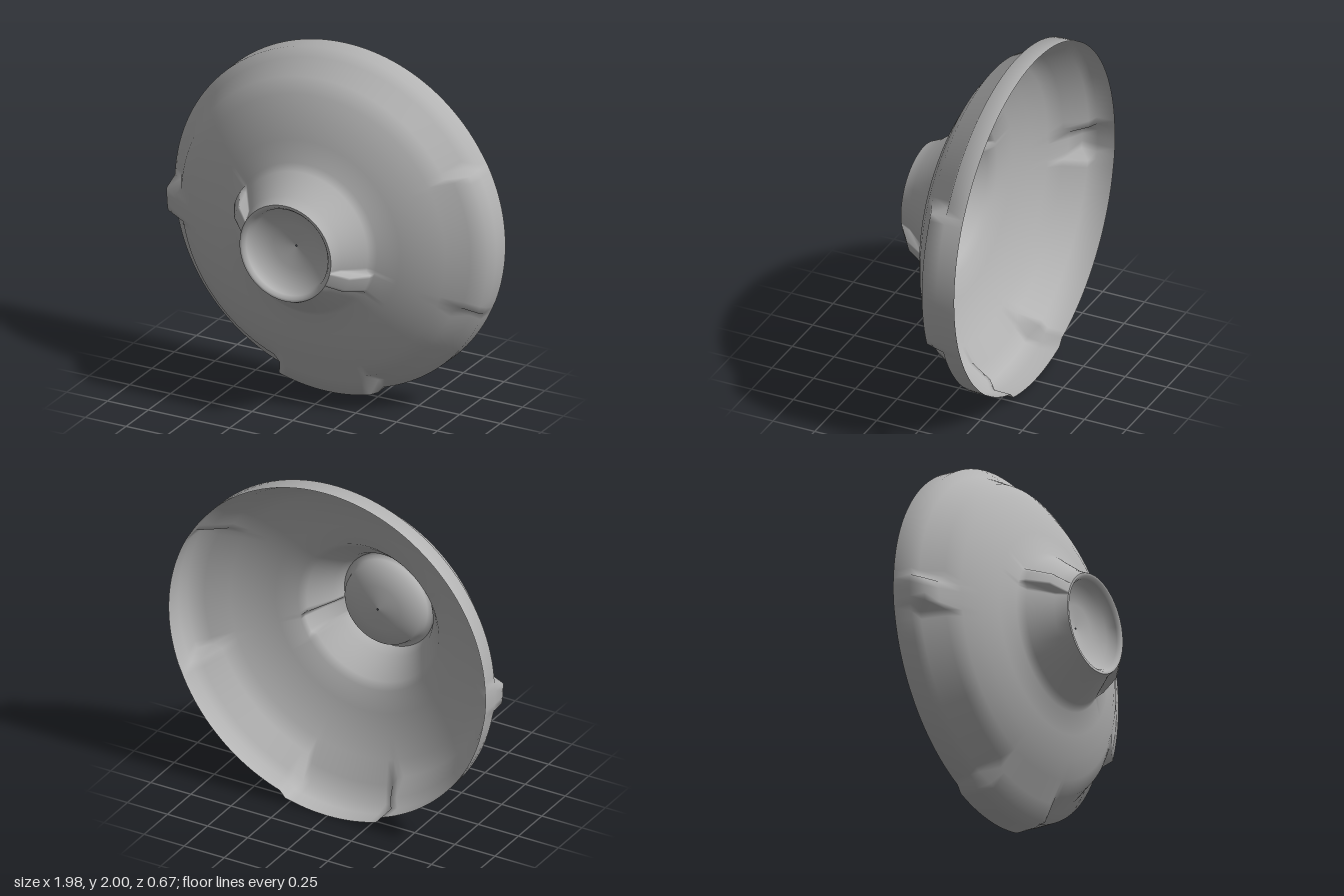
import * as THREE from 'three';

const CENTER_Y = 1.013;
const SEGMENTS = 144;

// Bowl rings, hub to back: [radius, z]
const PROFILE = [
  [0.28, 0.335], [0.31, 0.27], [0.405, 0.15], [0.44, 0.11], [0.56, 0.075], [0.68, 0.03],
  [0.785, -0.025], [0.865, -0.08], [0.932, -0.2], [0.984, -0.226], [0.986, -0.33],
];
// Rings that change where the rim is deepened or a hub lug is raised
const RIM_DEEP = { 7: [0.9, -0.095], 8: [0.985, -0.135], 9: [0.988, -0.226], 10: [0.988, -0.33] };
const RIM_BOTTOM = { 7: [0.9, -0.095], 8: [0.995, -0.145], 9: [1.012, -0.226], 10: [1.013, -0.33] };
const LUG = { 1: [0.37, 0.265], 2: [0.435, 0.15] };

// Angular windows in degrees, counter-clockwise from +x
const FEATURES = [
  { from: -21.5, to: 29, rings: RIM_DEEP },
  { from: 178, to: 189, rings: RIM_DEEP },
  { from: 251, to: 285, rings: RIM_BOTTOM },
  { from: -30, to: -15, rings: LUG },
  { from: 149, to: 164, rings: LUG },
];

const inside = (deg, f) => [deg, deg - 360].some((d) => d >= f.from && d <= f.to);

function ringPoint(k, deg) {
  const f = FEATURES.find((g) => g.rings[k] && inside(deg, g));
  return f ? f.rings[k] : PROFILE[k];
}

// Revolves rings around the z axis; pointAt(k, deg) gives [radius, z]
function sweep(ringCount, pointAt) {
  const pos = [];
  const index = [];
  for (let k = 0; k < ringCount; k++) {
    for (let i = 0; i < SEGMENTS; i++) {
      const deg = (i * 360) / SEGMENTS;
      const a = THREE.MathUtils.degToRad(deg);
      const [r, z] = pointAt(k, deg);
      pos.push(r * Math.cos(a), r * Math.sin(a), z);
      if (k === ringCount - 1) continue;
      const j = (i + 1) % SEGMENTS;
      const p = k * SEGMENTS + i, q = k * SEGMENTS + j;
      index.push(p, p + SEGMENTS, q, q, p + SEGMENTS, q + SEGMENTS);
    }
  }
  const geo = new THREE.BufferGeometry();
  geo.setAttribute('position', new THREE.Float32BufferAttribute(pos, 3));
  geo.setIndex(index);
  geo.computeVertexNormals();
  return geo;
}

export function createModel() {
  const group = new THREE.Group();
  const grey = new THREE.MeshStandardMaterial({ color: 0xb4b4b4, side: THREE.DoubleSide });
  grey.name = 'plain grey';

  const add = (name, geo) => {
    const mesh = new THREE.Mesh(geo, grey);
    mesh.name = name;
    mesh.position.y = CENTER_Y;
    group.add(mesh);
  };

  // Thin open bowl with deepened rim sections and two hub lugs
  add('bowlShell', sweep(PROFILE.length, ringPoint));

  // Recessed dish closing the hub
  const dish = [[0.005, 0.21], [0.13, 0.225], [0.235, 0.26], [0.25, 0.315], [0.265, 0.335], [0.28, 0.335]];
  add('hubDish', sweep(dish.length, (k) => dish[k]));

  return group;
}
